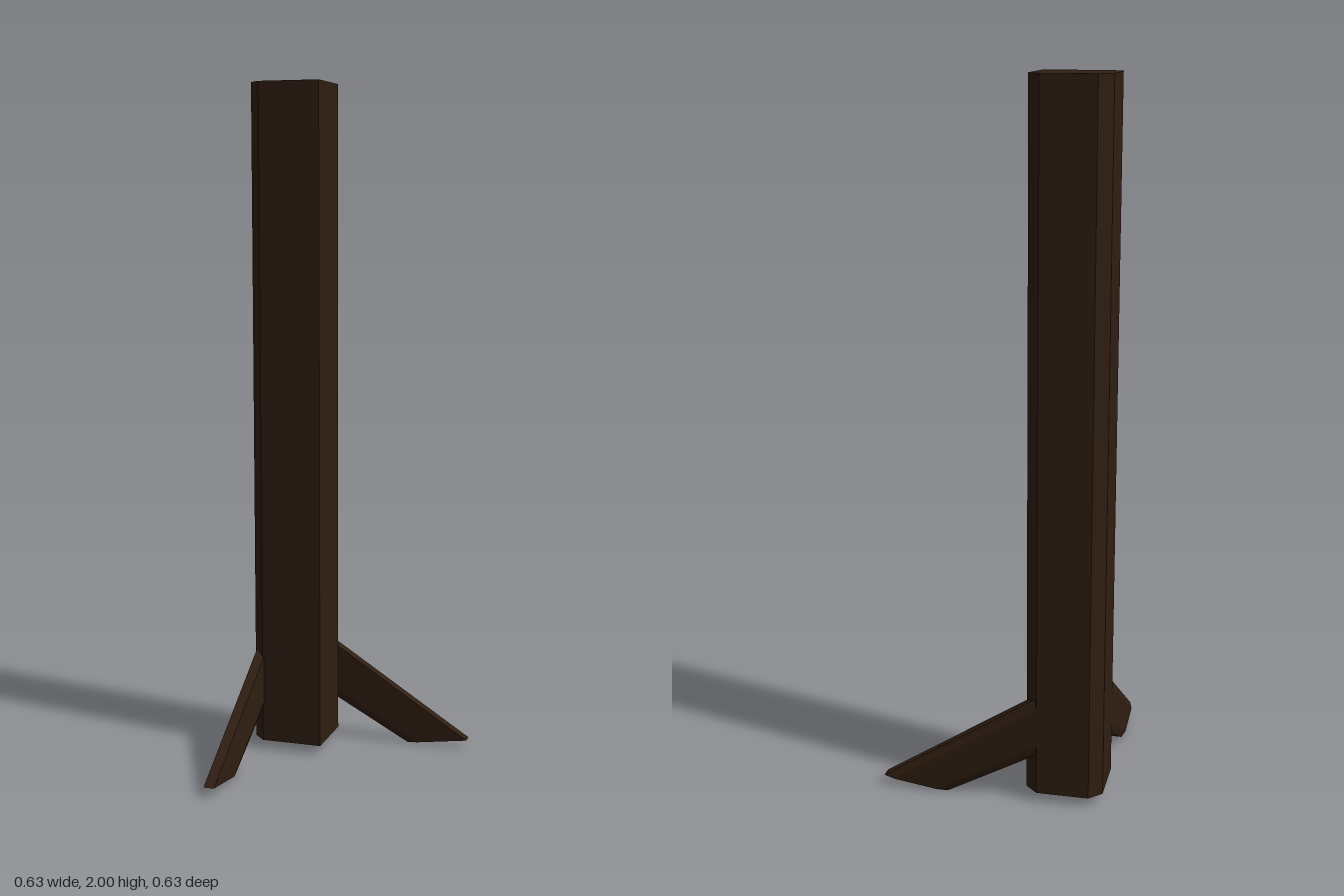
import * as THREE from 'three';

const wood = new THREE.MeshStandardMaterial({ color: 0x301e12, flatShading: true });
const OUT = -0.315, IN = -0.097, CUT = 0.035;

// Upright post: square section with three chamfered corners, inner corner sharp
function makePost() {
  const outline = [
    [IN, IN], [IN, OUT + CUT], [IN - CUT, OUT], [OUT + CUT, OUT],
    [OUT, OUT + CUT], [OUT, IN - CUT], [OUT + CUT, IN],
  ];
  const shape = new THREE.Shape(outline.map(([x, z]) => new THREE.Vector2(x, -z)));
  const geo = new THREE.ExtrudeGeometry(shape, { depth: 1.973, bevelEnabled: false });
  geo.rotateX(-Math.PI / 2).translate(0, 0.027, 0);
  return new THREE.Mesh(geo, wood);
}

// Sloping foot: chamfered section lofted from inside the post to the slanted tip.
// alongZ mirrors it across the diagonal by swapping x and z.
function makeFoot(alongZ) {
  const c = 0.17, k = 0.008, w = 0.039;
  const section = [[c, 0], [1 - c, 0], [1, k], [1, w], [c, w], [0, w - k], [0, k]];
  const ends = [
    { low: [-0.27, 0.216], high: [-0.27, 0.402] },
    { low: [0.127, 0], high: [0.315, 0.027] },
  ];
  const [a, b] = ends.map(({ low, high }) => section.map(([t, z]) => {
    const x = THREE.MathUtils.lerp(low[0], high[0], t);
    const y = THREE.MathUtils.lerp(low[1], high[1], t);
    return alongZ ? [OUT + z, y, x] : [x, y, OUT + z];
  }));
  const pos = [];
  const tri = (p, q, r) => pos.push(...p, ...(alongZ ? [...r, ...q] : [...q, ...r]));
  const n = section.length;
  for (let i = 0; i < n; i++) {
    const j = (i + 1) % n;
    tri(a[i], a[j], b[j]);
    tri(a[i], b[j], b[i]);
    if (i > 0 && i < n - 1) {
      tri(b[0], b[i], b[j]);
      tri(a[0], a[j], a[i]);
    }
  }
  const geo = new THREE.BufferGeometry();
  geo.setAttribute('position', new THREE.Float32BufferAttribute(pos, 3));
  geo.computeVertexNormals();
  return new THREE.Mesh(geo, wood);
}

export function createModel() {
  const group = new THREE.Group();
  group.name = 'cornerPost';
  const parts = { post: makePost(), sideFoot: makeFoot(false), frontFoot: makeFoot(true) };
  for (const [name, mesh] of Object.entries(parts)) {
    mesh.name = name;
    group.add(mesh);
  }
  return group;
}
